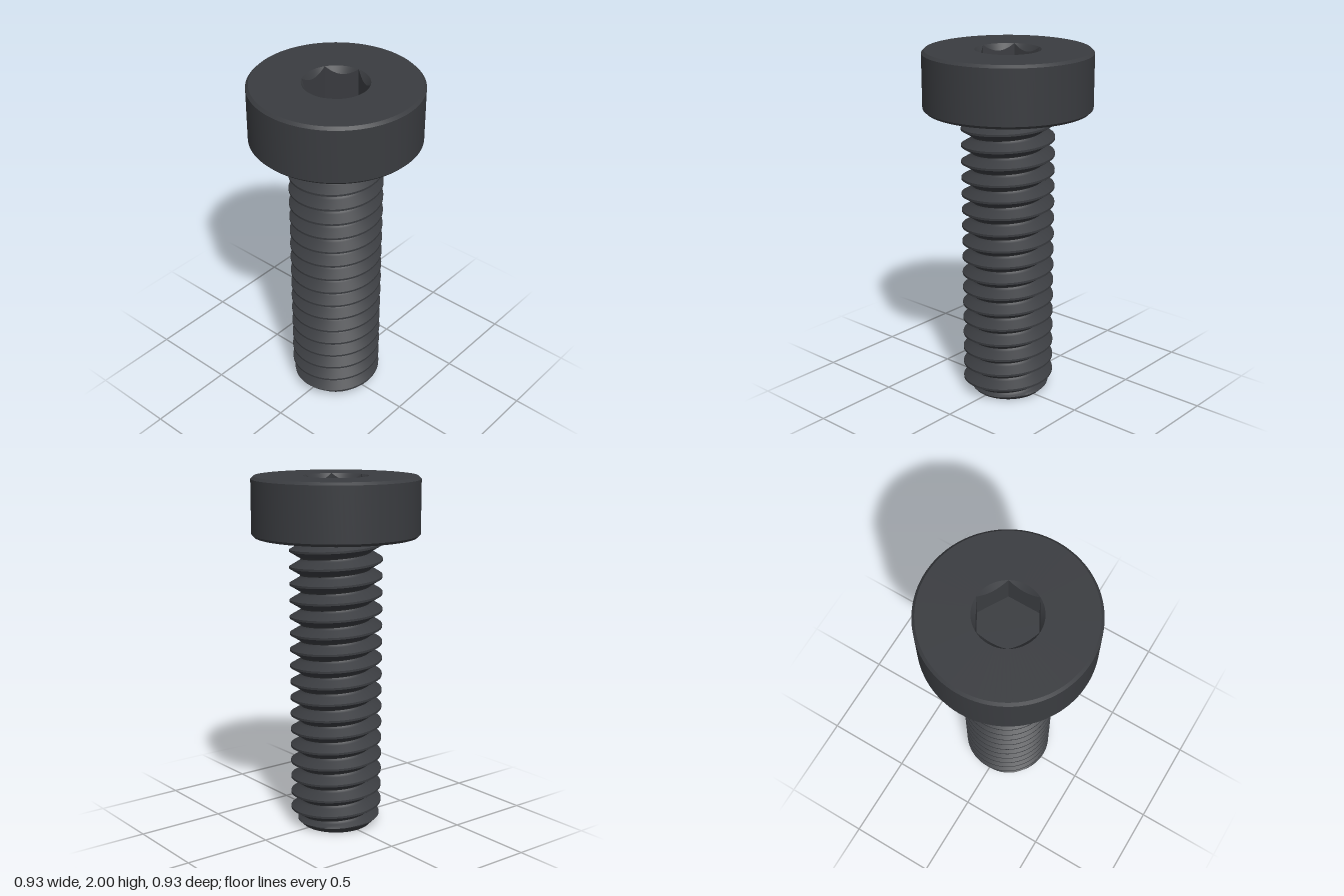
import * as THREE from 'three';
import { toCreasedNormals } from 'three/addons/utils/BufferGeometryUtils.js';

const TAU = Math.PI * 2;
const PITCH = 0.0937, CREST_Y = 0.1;   // thread pitch, crest height at angle 0
const R_MAJOR = 0.26, R_MINOR = 0.198;
const HEAD_Y = 1.67, TOP_Y = 2, HEAD_R = 0.467;
const SOCKET_R = 0.181, SOCKET_DEPTH = 0.19;

// Crease at a larger scale so small features are not merged
function crease(geometry, angle) {
  geometry.scale(100, 100, 100);
  const g = toCreasedNormals(geometry, angle);
  g.scale(0.01, 0.01, 0.01);
  return g;
}

// Surface of rings: at(t, row) returns [radius, y]
function ringSurface(rows, segments, at) {
  const pos = [], index = [];
  for (let j = 0; j < rows; j++) {
    for (let i = 0; i <= segments; i++) {
      const t = (i / segments) * TAU;
      const [r, y] = at(t, j);
      pos.push(r * Math.cos(t), y, -r * Math.sin(t));
      if (j < rows - 1 && i < segments) {
        const a = j * (segments + 1) + i, d = a + segments + 1;
        index.push(a, a + 1, d + 1, a, d + 1, d);
      }
    }
  }
  const g = new THREE.BufferGeometry();
  g.setAttribute('position', new THREE.Float32BufferAttribute(pos, 3));
  g.setIndex(index);
  return g;
}

// Radius of the threaded shank at an angle and height
function shankRadius(t, y) {
  const turns = (y - CREST_Y) / PITCH - t / TAU;
  const u = Math.abs(turns - Math.round(turns));          // 0 crest, 0.5 root
  const flank = THREE.MathUtils.clamp((u - 0.0625) / 0.375, 0, 1);
  let r = THREE.MathUtils.lerp(R_MAJOR, R_MINOR + 0.004, flank);
  if (u > 0.4375) r -= 0.004 * (u - 0.4375) / 0.0625;     // rounded root
  r = Math.min(r, 0.2 + y);                               // chamfered tip
  const f = 0.07, h = y - (HEAD_Y - f);                   // fillet under the head
  if (h > 0) r = Math.max(r, 0.27 - Math.sqrt(Math.max(0, f * f - h * h)));
  return r;
}

function makeShank() {
  const perTurn = 16, first = -3 * perTurn, last = 17 * perTurn;
  return ringSurface(last - first + 2, 72, (t, j) => {
    if (j === 0) return [0, 0];                           // centre of the flat tip
    const k = first + j - 1;
    const y = THREE.MathUtils.clamp(CREST_Y + PITCH * (t / TAU + k / perTurn), 0, HEAD_Y);
    return [shankRadius(t, y), y];
  });
}

function makeHead() {
  const profile = [
    [0.26, HEAD_Y], [HEAD_R - 0.015, HEAD_Y], [HEAD_R, HEAD_Y + 0.015],
    [HEAD_R, TOP_Y - 0.015], [HEAD_R - 0.015, TOP_Y], [SOCKET_R, TOP_Y],
  ].map(([x, y]) => new THREE.Vector2(x, y));
  return new THREE.LatheGeometry(profile, 96);
}

// Hexagonal recess with a conical lead-in
function makeSocket() {
  const apothem = SOCKET_R * Math.cos(Math.PI / 6);
  return ringSurface(4, 96, (t, j) => {
    const hex = apothem / Math.cos((t % (TAU / 6)) - TAU / 12);
    if (j === 0) return [SOCKET_R, TOP_Y];
    if (j === 1) return [hex, TOP_Y - (SOCKET_R - hex) * 1.5];
    return [j === 2 ? hex : 0, TOP_Y - SOCKET_DEPTH];
  });
}

export function createModel() {
  const group = new THREE.Group();
  group.name = 'socketHeadScrew';
  const material = new THREE.MeshStandardMaterial({ color: 0x3a3c40 });
  const parts = {
    threadedShank: crease(makeShank(), 0.6),
    head: crease(makeHead(), 0.5),
    hexSocket: crease(makeSocket(), 0.4),
  };
  for (const [name, geometry] of Object.entries(parts)) {
    const mesh = new THREE.Mesh(geometry, material);
    mesh.name = name;
    group.add(mesh);
  }
  return group;
}
